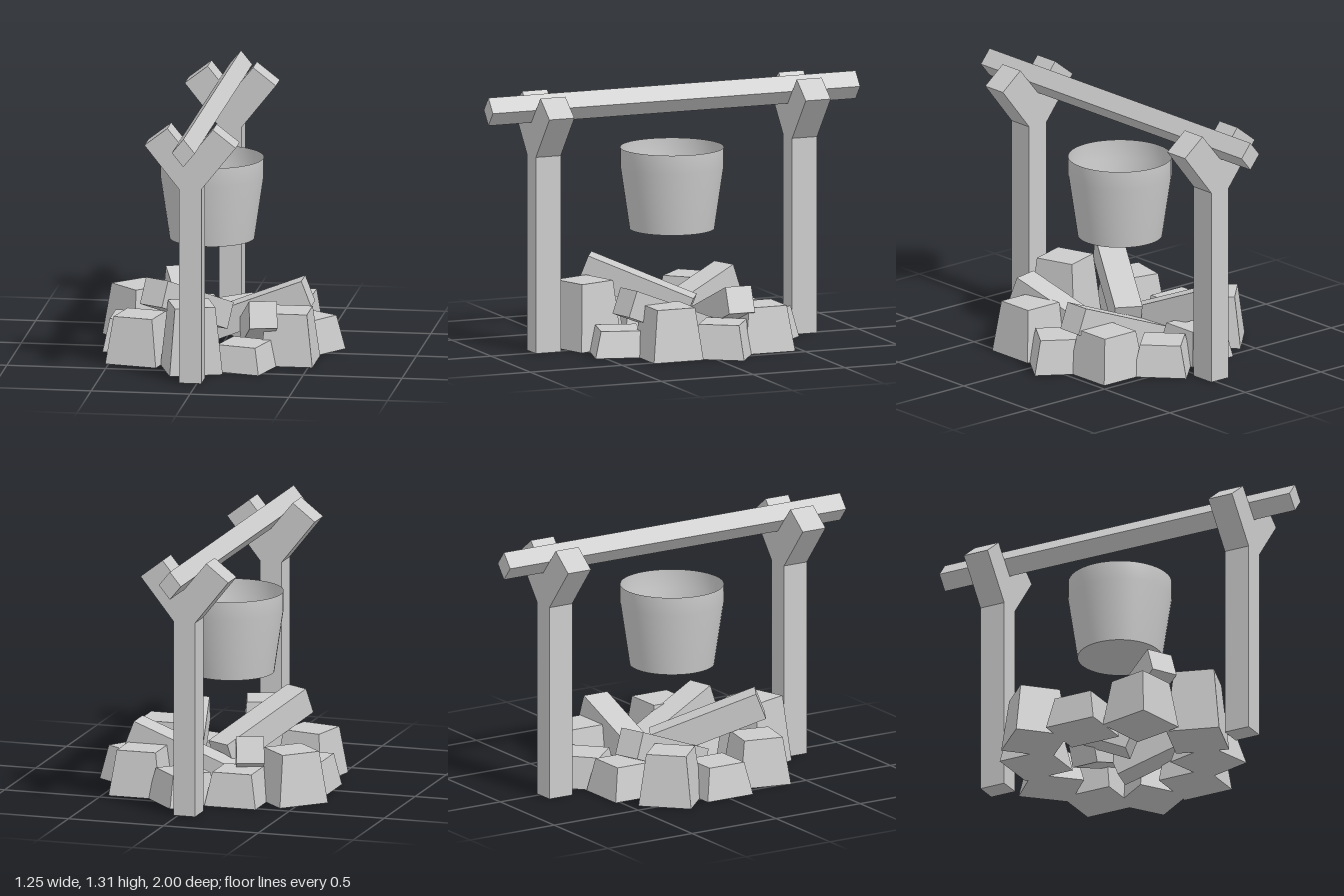
import * as THREE from 'three';

const AXIS_X = -0.034; // centre line of the posts, beam and bucket

export function createModel() {
  const model = new THREE.Group();
  const grey = new THREE.MeshStandardMaterial({ color: 0xcccccc, flatShading: true });
  const smooth = new THREE.MeshStandardMaterial({ color: 0xcccccc, side: THREE.DoubleSide });

  const add = (name, geometry, material = grey) => {
    const mesh = new THREE.Mesh(geometry, material);
    mesh.name = name;
    model.add(mesh);
    return mesh;
  };
  const extrude = (points, depth) => new THREE.ExtrudeGeometry(
    new THREE.Shape(points.map(([x, y]) => new THREE.Vector2(x, y))),
    { depth, bevelEnabled: false });

  // Forked posts, front and back
  const half = [[0.057, 0], [0.057, 0.998], [0.231, 1.217], [0.115, 1.307]];
  const outline = [...half, [0, 1.166], ...half.map(([x, y]) => [-x, y]).reverse()];
  for (const [name, z] of [['frontPost', 0.63], ['backPost', -0.766]]) {
    add(name, extrude(outline, 0.136)).position.set(AXIS_X, 0, z);
  }

  // Beam lying on its edge in the forks
  add('beam', extrude([[0, 1.166], [0.058, 1.237], [0, 1.308], [-0.058, 1.237]], 2))
    .position.set(AXIS_X, 0, -1);

  // Open bucket: creased floor, softly bent wall
  const wall = [[0.213, 0.576], [0.26, 0.895], [0.26, 0.99]].map(p => new THREE.Vector2(...p));
  add('bucketWall', new THREE.LatheGeometry(wall, 48), smooth).position.x = AXIS_X;
  const floor = add('bucketFloor', new THREE.CircleGeometry(0.213, 48), smooth);
  floor.rotation.x = Math.PI / 2;
  floor.position.set(AXIS_X, 0.576, 0);

  // Ring of tapered stones: x, z, height, turn in degrees
  const stones = [
    [-0.434, 0.005, 0.165, 0], [-0.437, -0.267, 0.262, 45],
    [-0.195, -0.39, 0.17, 0], [0.075, -0.452, 0.16, 47],
    [0.331, -0.323, 0.23, 0], [0.438, -0.075, 0.173, 34],
    [0.387, 0.2, 0.263, 0], [0.185, 0.385, 0.132, 15],
    [-0.07, 0.463, 0.34, -18], [-0.357, 0.295, 0.24, 12],
  ];
  stones.forEach(([x, z, height, turn], i) => {
    const geometry = new THREE.BoxGeometry(0.27, height, 0.27);
    const p = geometry.attributes.position;
    for (let v = 0; v < p.count; v++) {
      if (p.getY(v) > 0) p.setXYZ(v, p.getX(v) * 0.76, p.getY(v), p.getZ(v) * 0.76);
    }
    geometry.computeVertexNormals();
    const stone = add(`stone${i + 1}`, geometry);
    stone.position.set(x, height / 2, z);
    stone.rotation.y = -THREE.MathUtils.degToRad(turn);
  });

  // Logs sloping down to the middle: centre of outer end, then inward direction in x and z
  const logs = [
    [-0.262, 0.275, -0.4, 0.33, 0.94], [0.427, 0.275, -0.175, -1, 0],
    [0.282, 0.277, 0.392, -0.23, -0.97], [-0.274, 0.37, 0.372, 0.5, -0.87],
  ];
  const length = 0.57;
  logs.forEach(([x, y, z, dx, dz], i) => {
    const log = add(`log${i + 1}`,
      new THREE.BoxGeometry(length, 0.138, 0.14).translate(length / 2, 0, 0));
    log.position.set(x, y, z);
    log.rotation.set(0, Math.atan2(-dz, dx), -0.37);
  });

  return model;
}
